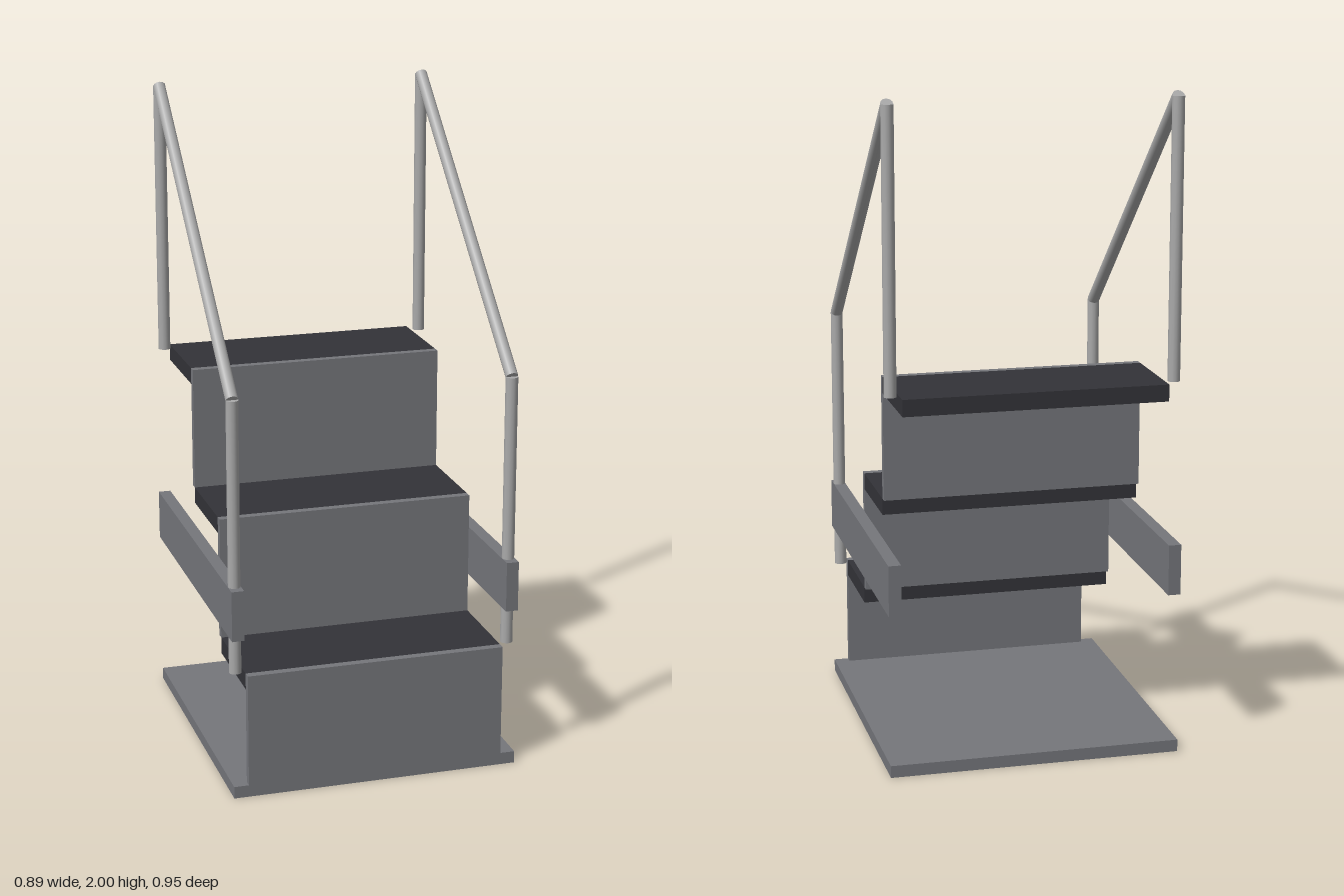
import * as THREE from 'three';

const material = (color) => new THREE.MeshStandardMaterial({ color });

export function createModel() {
  const model = new THREE.Group();
  model.name = 'steps';
  const frame = material(0x75767b);
  const tread = material(0x333338);
  const metal = material(0xaaaaaa);

  // Box given by its extents on each axis
  function box(name, [x0, x1], [y0, y1], [z0, z1], mat) {
    const mesh = new THREE.Mesh(new THREE.BoxGeometry(x1 - x0, y1 - y0, z1 - z0), mat);
    mesh.position.set((x0 + x1) / 2, (y0 + y1) / 2, (z0 + z1) / 2);
    mesh.name = name;
    model.add(mesh);
  }

  // Round bar between two points
  function bar(name, a, b) {
    const dir = b.clone().sub(a);
    const mesh = new THREE.Mesh(new THREE.CylinderGeometry(0.019, 0.019, dir.length(), 12), metal);
    mesh.position.copy(a).add(b).multiplyScalar(0.5);
    mesh.quaternion.setFromUnitVectors(new THREE.Vector3(0, 1, 0), dir.normalize());
    mesh.name = name;
    model.add(mesh);
  }

  box('basePlate', [-0.443, 0.443], [0, 0.037], [-0.475, 0.475], frame);

  // Three steps: an upright riser with a dark tread behind it
  const width = [-0.398, 0.398];
  for (let i = 0; i < 3; i++) {
    const top = 0.386 + i * 0.381;
    const front = 0.475 - i * 0.317;
    const bottom = i === 0 ? 0.037 : top - 0.381;
    box('riser' + (i + 1), width, [bottom, top], [front - 0.025, front], frame);
    box('tread' + (i + 1), width, [top - 0.051, top], [front - 0.317, front - 0.025], tread);
  }

  // Side beams and handrails, mirrored
  for (const s of [-1, 1]) {
    const side = s > 0 ? 'left' : 'right';
    const x = s * 0.425;
    box(side + 'SideBeam', [x - 0.019, x + 0.019], [0.5, 0.655], [-0.475, 0.475], frame);
    const lower = new THREE.Vector3(x, 1.222, 0.432);
    const upper = new THREE.Vector3(x, 1.986, -0.432);
    bar(side + 'FrontPost', new THREE.Vector3(x, 0.386, 0.432), lower);
    bar(side + 'BackPost', new THREE.Vector3(x, 1.148, -0.432), upper);
    bar(side + 'Handrail', lower, upper);
  }
  return model;
}
